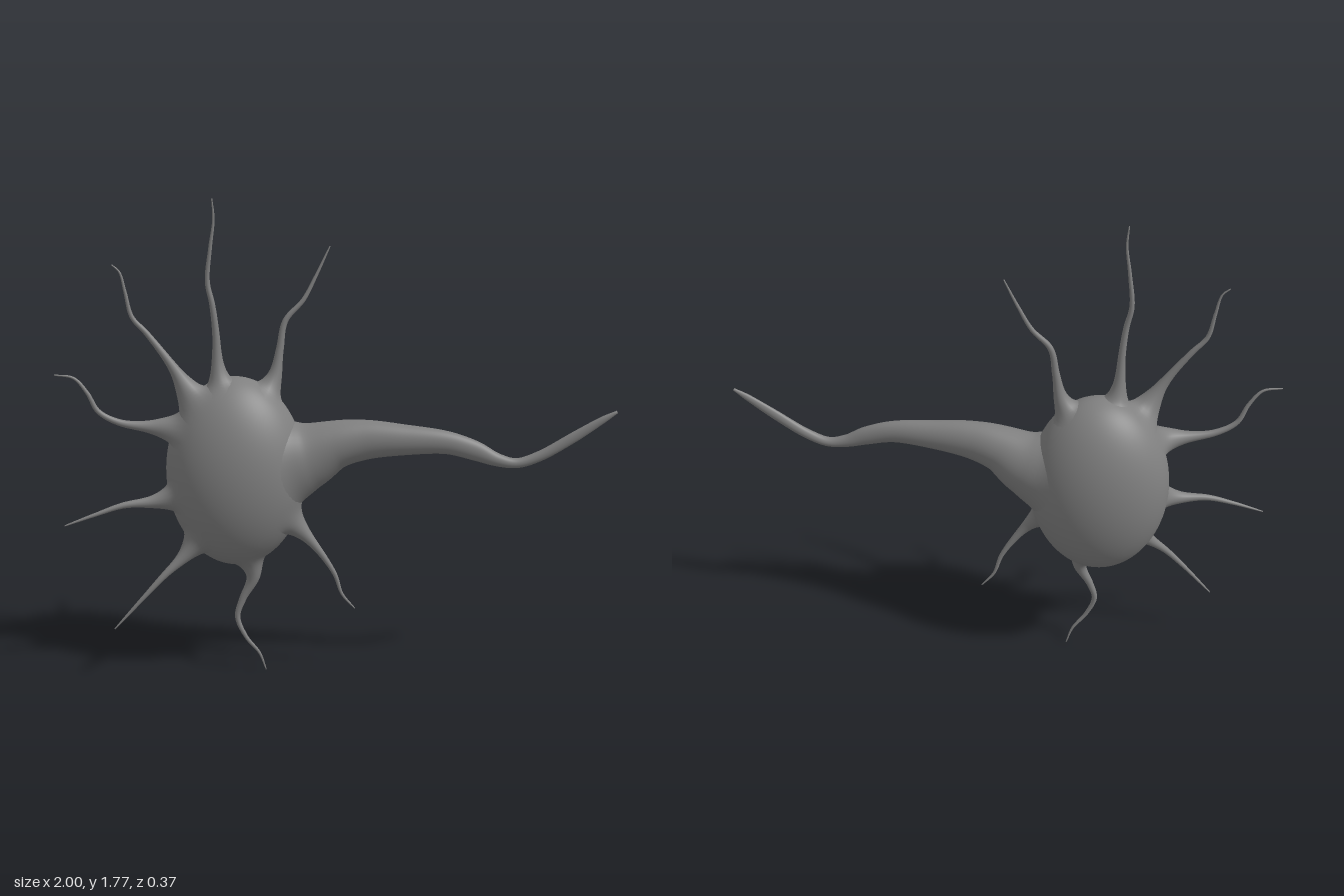
import * as THREE from 'three';

const material = new THREE.MeshStandardMaterial({ color: 0x808080 });

// Cell body ellipsoid
const centre = new THREE.Vector3(-0.37, 0.775, 0);
const size = new THREE.Vector3(0.255, 0.355, 0.187);

// Sweeps an oval section along a curve. sectionAt(u) gives [width, depth, blend];
// blend 1 lays the ring on the cell body, 0 leaves it free, so branches grow out smoothly.
function sweep(name, curve, steps, sides, sectionAt) {
  const pos = [], index = [], blends = [];
  const zAxis = new THREE.Vector3(0, 0, 1);
  for (let i = 0; i <= steps; i++) {
    const u = i / steps;
    const p = curve.getPointAt(u), t = curve.getTangentAt(u);
    const n = zAxis.clone().cross(t).normalize();
    const d = t.clone().cross(n);
    const [w, h, blend] = sectionAt(u);
    for (let j = 0; j < sides; j++) {
      const a = (j / sides) * Math.PI * 2;
      const v = p.clone().addScaledVector(n, Math.cos(a) * w).addScaledVector(d, Math.sin(a) * h);
      const onBody = v.clone().sub(centre).divide(size).setLength(0.995).multiply(size).add(centre);
      v.lerp(onBody, blend);
      pos.push(v.x, v.y, v.z);
      blends.push(blend);
      if (i < steps) {
        const k = (j + 1) % sides;
        const A = i * sides + j, B = i * sides + k;
        index.push(A, B, A + sides, B, B + sides, A + sides);
      }
    }
  }
  // close the tip
  pos.push(...curve.getPointAt(1).toArray());
  blends.push(0);
  for (let j = 0; j < sides; j++) {
    index.push(steps * sides + j, steps * sides + ((j + 1) % sides), (steps + 1) * sides);
  }
  const geo = new THREE.BufferGeometry();
  geo.setAttribute('position', new THREE.Float32BufferAttribute(pos, 3));
  geo.setIndex(index);
  geo.computeVertexNormals();

  // ease the normals into those of the cell body
  const { position, normal } = geo.attributes;
  const v = new THREE.Vector3(), n = new THREE.Vector3();
  blends.forEach((blend, i) => {
    v.fromBufferAttribute(position, i).sub(centre).divide(size).divide(size).normalize();
    n.fromBufferAttribute(normal, i).lerp(v, blend).normalize();
    normal.setXYZ(i, n.x, n.y, n.z);
  });
  const mesh = new THREE.Mesh(geo, material);
  mesh.name = name;
  return mesh;
}

const toCurve = (pts) => new THREE.CatmullRomCurve3(pts.map((p) => new THREE.Vector3(p[0], p[1], p[2])));

// Thin branch: wide flare where it leaves the body, long taper to the tip.
function dendrite(name, pts) {
  const curve = toCurve(pts), len = curve.getLength();
  return sweep(name, curve, 80, 16, (u) => {
    const d = u * len;
    const r = 0.1 * Math.exp(-d / 0.05) + 0.014 * Math.pow(1 - u, 0.8) + 0.002;
    return [r, r, Math.exp(-((d / 0.045) ** 2))];
  });
}

export function createModel() {
  const group = new THREE.Group();
  group.name = 'nerveCell';

  const body = new THREE.Mesh(new THREE.SphereGeometry(1, 64, 48), material);
  body.name = 'cellBody';
  body.scale.copy(size);
  body.position.copy(centre);
  group.add(body);

  // Axon: x, y, z, half height, half depth
  const axon = [
    [-0.36, 0.785, 0, 0.24, 0.182],
    [-0.28, 0.795, 0, 0.215, 0.165],
    [-0.2, 0.812, 0, 0.18, 0.138],
    [-0.1, 0.842, 0.004, 0.125, 0.104],
    [0, 0.885, 0.017, 0.089, 0.077],
    [0.1, 0.905, 0.027, 0.074, 0.059],
    [0.25, 0.909, 0.04, 0.056, 0.044],
    [0.4, 0.902, 0.05, 0.042, 0.031],
    [0.5, 0.874, 0.055, 0.036, 0.025],
    [0.58, 0.842, 0.059, 0.024, 0.021],
    [0.65, 0.831, 0.061, 0.018, 0.018],
    [0.73, 0.858, 0.063, 0.019, 0.016],
    [0.85, 0.93, 0.066, 0.019, 0.012],
    [0.95, 0.995, 0.068, 0.013, 0.009],
    [1, 1.025, 0.069, 0.005, 0.005],
  ];
  const path = toCurve(axon), axonLength = path.getLength();
  const radii = toCurve(axon.map((p) => [p[3], p[4], 0]));
  group.add(sweep('axon', path, 110, 40, (u) => {
    const r = radii.getPoint(path.getUtoTmapping(u));
    return [r.x, r.y, 1 - THREE.MathUtils.smoothstep(u * axonLength, 0.05, 0.25)];
  }));

  // Dendrites, clockwise from the top
  const dendrites = {
    dendriteTop: [[-0.41, 1.06, 0.02], [-0.425, 1.17, 0.025], [-0.43, 1.3, 0.03], [-0.44, 1.4, 0.035],
      [-0.455, 1.48, 0.035], [-0.442, 1.6, 0.04], [-0.428, 1.7, 0.042], [-0.432, 1.77, 0.045]],
    dendriteUpperRight: [[-0.27, 1.04, -0.005], [-0.225, 1.13, -0.015], [-0.205, 1.23, -0.02], [-0.185, 1.33, -0.025],
      [-0.12, 1.405, -0.035], [-0.075, 1.49, -0.045], [-0.025, 1.595, -0.053]],
    dendriteLowerRight: [[-0.19, 0.62, 0.035], [-0.11, 0.54, 0.04], [-0.045, 0.455, 0.035], [-0.005, 0.385, 0.03],
      [0.02, 0.31, 0.025], [0.068, 0.25, 0.02]],
    dendriteBottom: [[-0.33, 0.48, 0.02], [-0.31, 0.38, 0.03], [-0.35, 0.29, 0.035], [-0.37, 0.22, 0.037],
      [-0.34, 0.14, 0.036], [-0.29, 0.07, 0.028], [-0.267, 0.002, 0.022]],
    dendriteLowerLeft: [[-0.49, 0.55, 0.06], [-0.56, 0.475, 0.1], [-0.63, 0.41, 0.125], [-0.7, 0.335, 0.138],
      [-0.813, 0.21, 0.146]],
    dendriteLeft: [[-0.56, 0.7, 0.06], [-0.66, 0.683, 0.085], [-0.77, 0.675, 0.11], [-0.87, 0.645, 0.13],
      [-0.98, 0.607, 0.146]],
    dendriteLeftUpper: [[-0.56, 0.95, 0.05], [-0.67, 0.958, 0.065], [-0.78, 0.978, 0.08], [-0.85, 1.02, 0.09],
      [-0.885, 1.09, 0.1], [-0.93, 1.145, 0.107], [-0.998, 1.157, 0.112]],
    dendriteUpperLeft: [[-0.51, 1.05, 0.05], [-0.59, 1.19, 0.065], [-0.67, 1.3, 0.07], [-0.72, 1.36, 0.075],
      [-0.74, 1.45, 0.08], [-0.757, 1.52, 0.083], [-0.783, 1.545, 0.083]],
  };
  for (const [name, pts] of Object.entries(dendrites)) group.add(dendrite(name, pts));
  return group;
}
